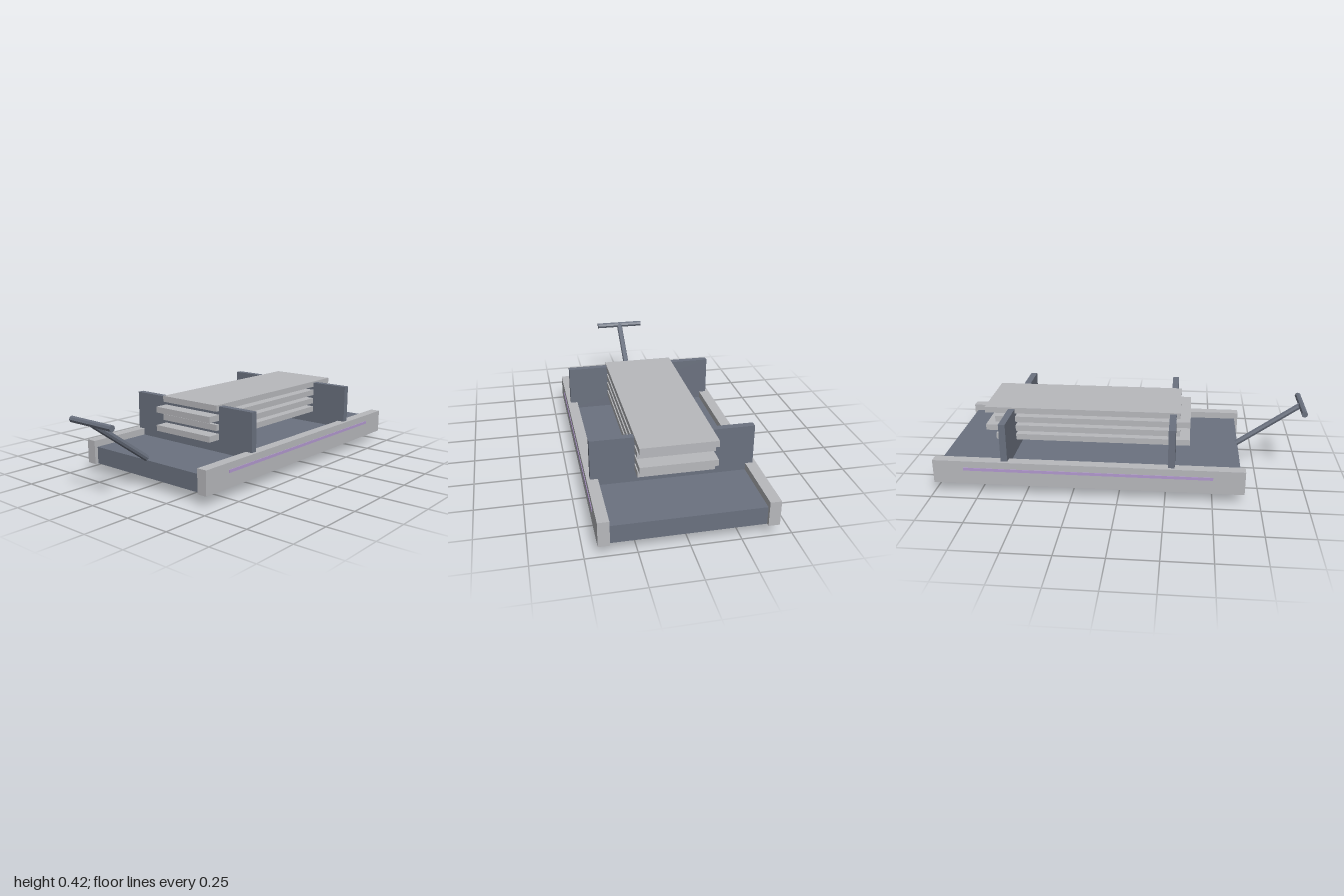
import * as THREE from 'three';

export function createModel() {
  const model = new THREE.Group();
  model.name = 'cargoSled';

  const material = (name, color) => {
    const m = new THREE.MeshStandardMaterial({ color, flatShading: true });
    m.name = name;
    return m;
  };
  const darkMetal = material('dark grey metal', 0x6b7280);
  const paleMetal = material('pale grey metal', 0xb8b9bd);
  const violet = material('violet glow', 0xb39ad0);

  const add = (name, geometry, mat) => {
    const mesh = new THREE.Mesh(geometry, mat);
    mesh.name = name;
    model.add(mesh);
    return mesh;
  };
  // Box given by its extents on each axis
  const box = (name, mat, [x0, x1], [y0, y1], [z0, z1]) => {
    const g = new THREE.BoxGeometry(x1 - x0, y1 - y0, z1 - z0);
    g.translate((x0 + x1) / 2, (y0 + y1) / 2, (z0 + z1) / 2);
    return add(name, g, mat);
  };
  // Round bar between two points
  const bar = (name, a, b, radius) => {
    const dir = b.clone().sub(a);
    const mesh = add(name, new THREE.CylinderGeometry(radius, radius, dir.length(), 8), darkMetal);
    mesh.position.copy(a).add(b).multiplyScalar(0.5);
    mesh.quaternion.setFromUnitVectors(new THREE.Vector3(0, 1, 0), dir.normalize());
  };

  // Deck
  box('deck', darkMetal, [-0.647, 0.979], [0.055, 0.149], [-0.405, 0.405]);

  // Side rails with a glowing strip on the outside
  for (const s of [-1, 1]) {
    const span = (a, b) => (s > 0 ? [a, b] : [-b, -a]);
    box('sideRail', paleMetal, [-0.667, 0.998], [0.055, 0.186], span(0.379, 0.436));
    box('railStrip', violet, [-0.5, 0.83], [0.133, 0.149], span(0.432, 0.439));
  }

  // Cross plates and lift pads under them
  for (const x of [-0.28, 0.61]) {
    box('crossPlate', darkMetal, [x - 0.018, x + 0.018], [0.14, 0.398], [-0.418, 0.418]);
  }
  for (const x of [-0.315, 0.645]) {
    add('padHousing', new THREE.CylinderGeometry(0.203, 0.203, 0.044, 16), darkMetal)
      .position.set(x, 0.034, 0);
    add('padGlow', new THREE.CylinderGeometry(0.156, 0.156, 0.03, 16), violet)
      .position.set(x, 0.015, 0);
  }

  // Stacked slabs, alternately shifted
  for (let i = 0; i < 4; i++) {
    const x = i % 2 ? -0.319 : -0.374;
    const y = 0.217 + i * 0.052;
    box('cargoSlab', paleMetal, [x, x + 1.078], [y, y + 0.033], [-0.196, 0.196]);
  }

  // Tow handle
  const grip = new THREE.Vector3(-0.983, 0.403, 0);
  bar('handleShaft', new THREE.Vector3(-0.64, 0.158, 0), grip, 0.017);
  bar('handleGrip', grip.clone().setZ(-0.147), grip.clone().setZ(0.147), 0.017);

  return model;
}
